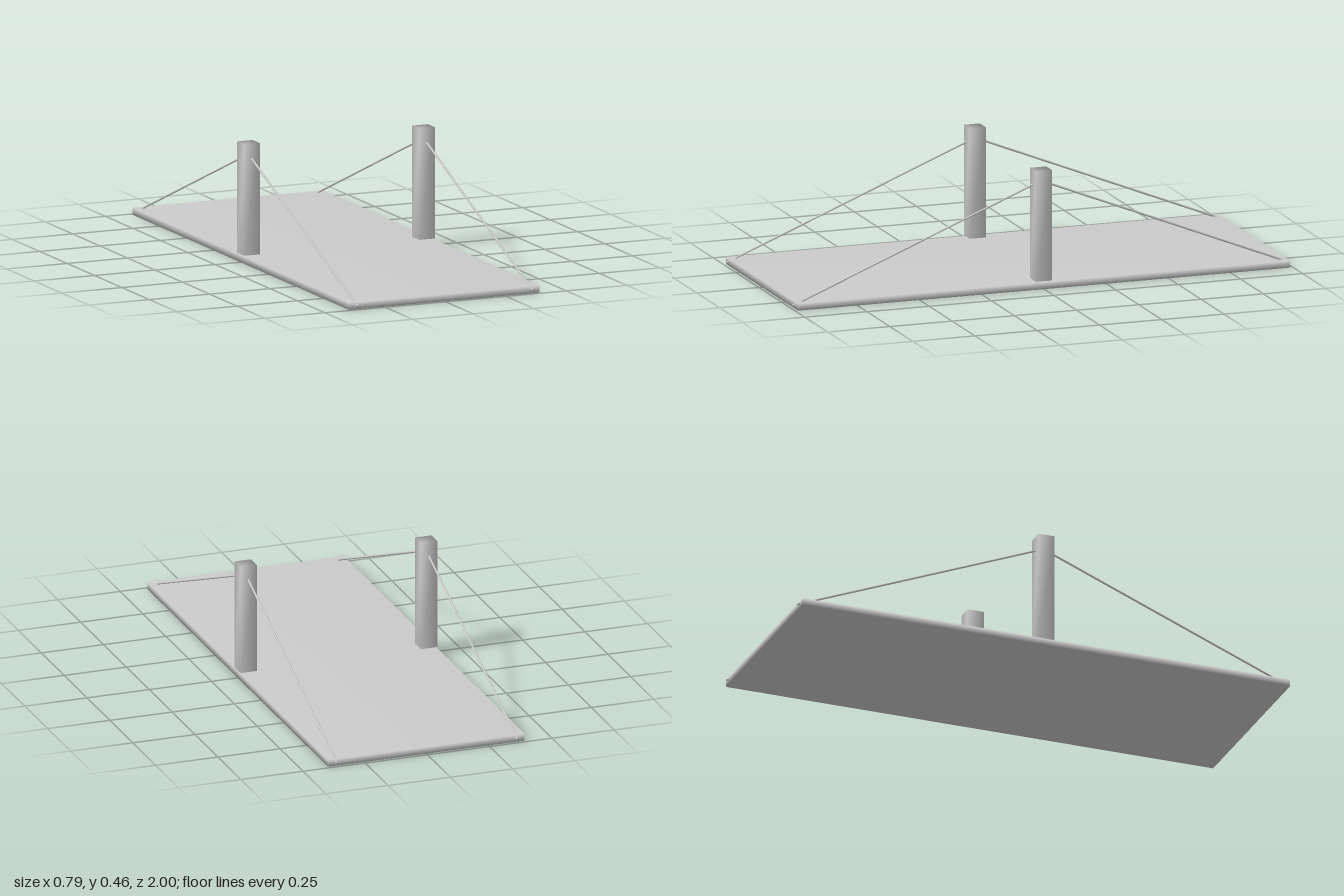
import * as THREE from 'three';
import { mergeVertices } from 'three/addons/utils/BufferGeometryUtils.js';

const material = new THREE.MeshStandardMaterial({ color: 0xcccccc });

// Box with shared corners, so the shading runs smoothly over its edges
function softBox(w, h, d) {
  let geometry = new THREE.BoxGeometry(w, h, d);
  geometry.deleteAttribute('normal');
  geometry.deleteAttribute('uv');
  geometry = mergeVertices(geometry);
  geometry.computeVertexNormals();
  return geometry;
}

function addPart(parent, name, geometry, x, y, z) {
  const mesh = new THREE.Mesh(geometry, material);
  mesh.name = name;
  mesh.position.set(x, y, z);
  parent.add(mesh);
  return mesh;
}

// Thin round rod between two points
function addCable(parent, name, from, to, radius) {
  const direction = to.clone().sub(from);
  const geometry = new THREE.CylinderGeometry(radius, radius, direction.length(), 8);
  const middle = from.clone().lerp(to, 0.5);
  const mesh = addPart(parent, name, geometry, middle.x, middle.y, middle.z);
  mesh.quaternion.setFromUnitVectors(new THREE.Vector3(0, 1, 0), direction.normalize());
}

export function createModel() {
  const model = new THREE.Group();
  model.name = 'suspendedBridge';

  // Flat deck
  addPart(model, 'deck', softBox(0.79, 0.027, 1.976), 0, 0.0135, 0);

  for (const side of [1, -1]) {
    const label = side > 0 ? 'left' : 'right';
    const x = side * 0.3625;

    // Square tower just above the deck edge
    addPart(model, `${label}Tower`, softBox(0.065, 0.428, 0.065), x, 0.245, 0);

    // Stay cables from the tower to both deck ends
    for (const end of [1, -1]) {
      const name = `${label}${end > 0 ? 'Front' : 'Back'}Cable`;
      addCable(model, name,
        new THREE.Vector3(x, 0.414, 0),
        new THREE.Vector3(x, 0.013, end * 0.998), 0.004);
    }
  }
  return model;
}
